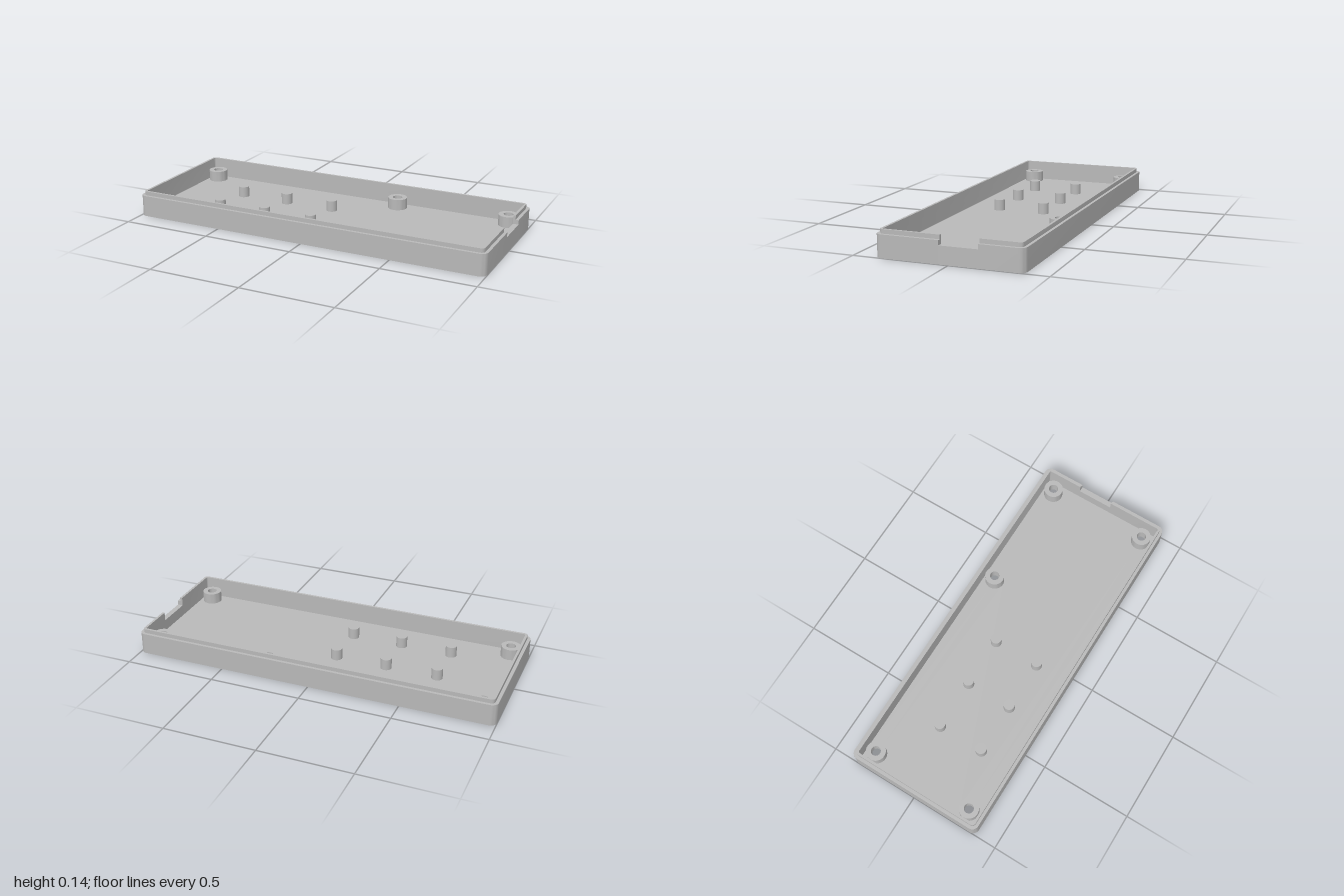
import * as THREE from 'three';
import { toCreasedNormals } from 'three/addons/utils/BufferGeometryUtils.js';

const FLOOR = 0.03, NOTCH_Y = 0.092, POST_TOP = 0.09;
const NOTCH_BACK = -0.153, NOTCH_FRONT = 0.047;

// Nested outlines: half width, half depth, corner radius
const OUTER = [1, 0.381, 0.035];
const LIP = [0.983, 0.365, 0.02];
const INNER = [0.97, 0.352, 0.008];

// Wall cross-section, from the outer foot over the lip to the inner foot
const WALL = [
  [OUTER, 0], [OUTER, NOTCH_Y], [OUTER, 0.117], [LIP, 0.117],
  [LIP, 0.139], [INNER, 0.139], [INNER, NOTCH_Y], [INNER, FLOOR],
];

const SCREWS = [[-0.91, -0.29], [0.265, -0.29], [0.905, -0.29], [-0.91, 0.288], [0.905, 0.288]];
const BOSS_R = 0.053, HOLE_R = 0.026, RECESS_R = 0.046, RECESS_TOP = 0.035;

// Stations around the outline: rounded corners, then the notch in the +x side
function stations() {
  const list = [];
  [[1, 1], [-1, 1], [-1, -1], [1, -1]].forEach(([sx, sz], k) => {
    for (let i = 0; i <= 6; i++) list.push({ sx, sz, a: (k + i / 6) * Math.PI / 2 });
  });
  list.push({ z: NOTCH_BACK }, { z: NOTCH_BACK, cut: true });
  list.push({ z: NOTCH_FRONT, cut: true }, { z: NOTCH_FRONT });
  return list;
}

function outlinePoint(s, [hx, hz, r]) {
  if (s.z !== undefined) return [hx, s.z];
  return [s.sx * (hx - r) + r * Math.cos(s.a), s.sz * (hz - r) + r * Math.sin(s.a)];
}

function wallGeometry() {
  const ring = stations(), rows = WALL.length, pos = [], index = [];
  ring.forEach((s) => WALL.forEach(([outline, y]) => {
    const [x, z] = outlinePoint(s, outline);
    pos.push(x, s.cut ? Math.min(y, NOTCH_Y) : y, z);
  }));
  for (let i = 0; i < ring.length; i++) {
    for (let j = 0; j < rows - 1; j++) {
      const a = i * rows + j, b = ((i + 1) % ring.length) * rows + j;
      index.push(a, a + 1, b, a + 1, b + 1, b);
    }
  }
  const g = new THREE.BufferGeometry();
  g.setAttribute('position', new THREE.Float32BufferAttribute(pos, 3));
  g.setIndex(index);
  return toCreasedNormals(g, 0.6);
}

// Flat plate with round holes; facing is 1 for up, -1 for down
function plateGeometry(outline, holeR, facing) {
  const corners = stations().filter((s) => s.z === undefined);
  const shape = new THREE.Shape(corners.map((s) => {
    const [x, z] = outlinePoint(s, outline);
    return new THREE.Vector2(x, -facing * z);
  }));
  for (const [x, z] of SCREWS) {
    shape.holes.push(new THREE.Path().absarc(x, -facing * z, holeR, 0, Math.PI * 2, true));
  }
  return new THREE.ShapeGeometry(shape, 16).rotateX(-facing * Math.PI / 2);
}

export function createModel() {
  const model = new THREE.Group();
  model.name = 'enclosureTray';
  const grey = new THREE.MeshStandardMaterial({ color: 0xb8b8b8 });
  grey.name = 'grey plastic';

  const add = (name, geometry, x = 0, y = 0, z = 0) => {
    const mesh = new THREE.Mesh(geometry, grey);
    mesh.name = name;
    mesh.position.set(x, y, z);
    model.add(mesh);
  };

  // Shell
  add('wallWithLip', wallGeometry());
  add('floorTop', plateGeometry(INNER, BOSS_R, 1), 0, FLOOR, 0);
  add('floorUnderside', plateGeometry(OUTER, RECESS_R, -1));

  // Screw bosses with a through hole and a recess for the screw head
  const profile = [
    [BOSS_R, FLOOR], [BOSS_R, POST_TOP], [HOLE_R, POST_TOP],
    [HOLE_R, RECESS_TOP], [RECESS_R, RECESS_TOP], [RECESS_R, 0],
  ].map(([r, y]) => new THREE.Vector2(r, y));
  const boss = toCreasedNormals(new THREE.LatheGeometry(profile, 32), 0.6);
  for (const [x, z] of SCREWS) add('screwBoss', boss, x, 0, z);

  // Board support pins
  const pin = new THREE.CylinderGeometry(0.03, 0.03, POST_TOP - FLOOR, 32);
  for (const x of [-0.61, -0.328, -0.046]) {
    for (const z of [-0.086, 0.172]) add('supportPin', pin, x, (POST_TOP + FLOOR) / 2, z);
  }
  return model;
}
